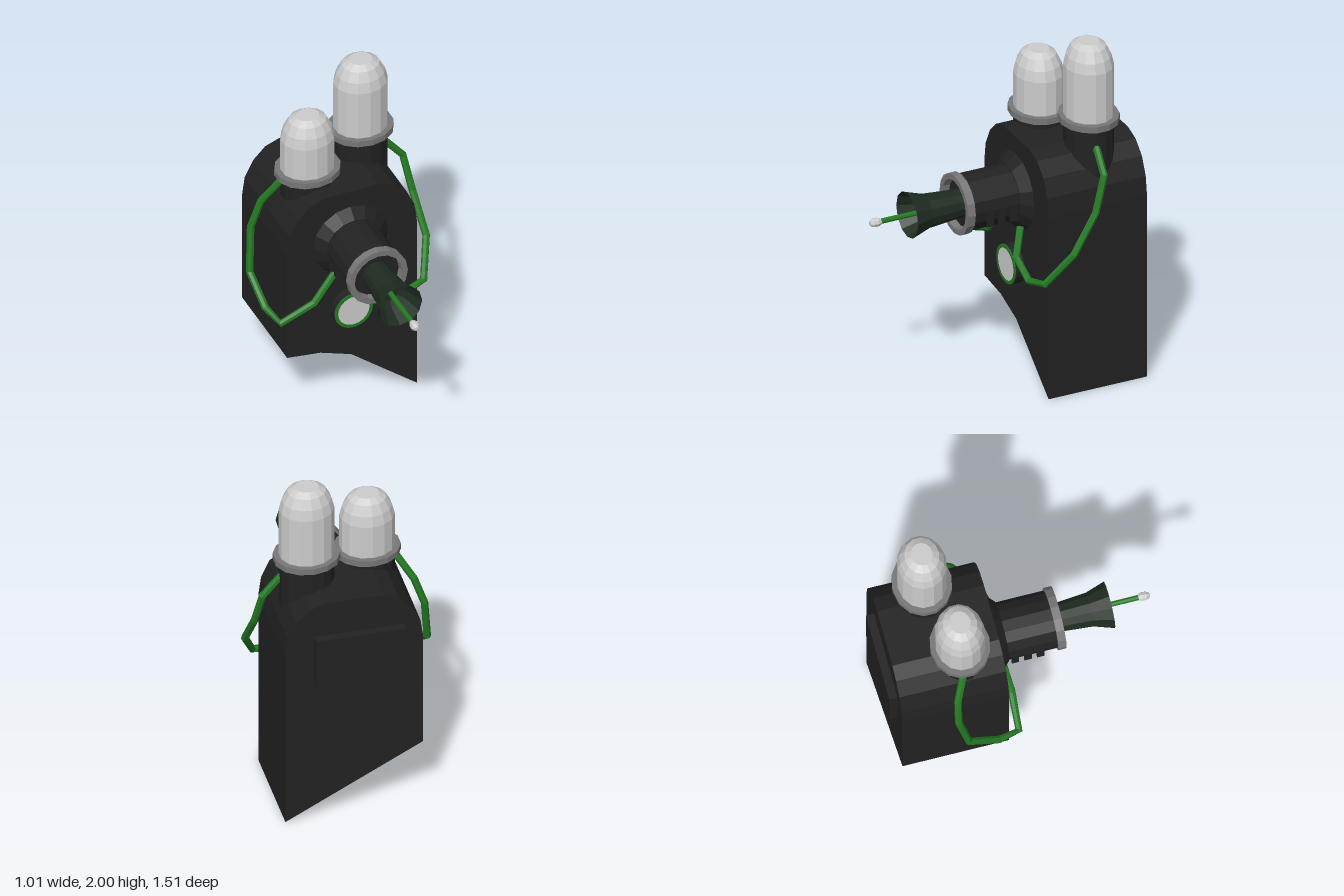
import * as THREE from 'three';

const paint = (color) => new THREE.MeshStandardMaterial({ color, flatShading: true, side: THREE.DoubleSide });
const v2 = (pts) => pts.map(([x, y]) => new THREE.Vector2(x, y));

export function createModel() {
  const group = new THREE.Group();
  const dark = paint(0x222222);
  const darkGreen = paint(0x1e2b20);
  const green = paint(0x237823);
  const grey = paint(0x777777);
  const light = paint(0xcccccc);

  const add = (name, geometry, material, parent = group) => {
    const mesh = new THREE.Mesh(geometry, material);
    mesh.name = name;
    parent.add(mesh);
    return mesh;
  };
  // Turned part: profile of [radius, height]
  const turned = (profile, sides) => new THREE.LatheGeometry(v2(profile), sides);
  // Turned part lying along z: profile of [radius, z]
  const turnedZ = (profile, x, y, sides = 16) =>
    turned(profile, sides).rotateX(Math.PI / 2).translate(x, y, 0);

  // Body: slab with chamfered shoulders and a slanted underside
  const outline = v2([
    [0.385, 0], [0.385, 1.09], [0.37, 1.2], [0.325, 1.3], [0.25, 1.37], [0.16, 1.4],
    [-0.16, 1.4], [-0.24, 1.37], [-0.31, 1.3], [-0.36, 1.2], [-0.375, 1.09],
    [-0.375, 0.4], [-0.18, 0.375], [0, 0.31],
  ]);
  const body = new THREE.ExtrudeGeometry(new THREE.Shape(outline), { depth: 0.59, bevelEnabled: false });
  // The lower edge is arched at the front and straight at the back
  const p = body.attributes.position;
  for (let i = 0; i < p.count; i++) {
    if (p.getZ(i) < 0.01 && p.getY(i) < 0.5) p.setY(i, 0.4 * (0.385 - p.getX(i)) / 0.76);
  }
  add('body', body.translate(0, 0, -0.71), dark);
  add('backPanel', new THREE.BoxGeometry(0.495, 0.31, 0.06).translate(-0.022, 1.035, -0.725), dark);

  // Two domed canisters, slightly oval
  const canister = (name, x, z, rim, top) => {
    const c = new THREE.Group();
    c.name = name;
    c.position.set(x, 0, z);
    c.scale.z = 0.89;
    add('socket', turned([[0.15, 1.15], [0.15, rim]], 14), dark, c);
    add('collar', turned([[0, rim - 0.018], [0.183, rim - 0.018], [0.183, rim + 0.018], [0, rim + 0.018]], 14), grey, c);
    add('dome', turned([
      [0.15, rim], [0.15, top - 0.14], [0.135, top - 0.08], [0.105, top - 0.025], [0.065, top], [0, top],
    ], 14), light, c);
    group.add(c);
  };
  canister('rightCanister', -0.16, -0.336, 1.457, 1.815);
  canister('leftCanister', 0.203, -0.452, 1.547, 2.0);

  // Nozzle pointing forward
  const nx = -0.005, ny = 1.08;
  add('nozzleFlange', turnedZ([[0.22, -0.13], [0.22, -0.12], [0.165, -0.065], [0.15, -0.065]], nx, ny), dark);
  add('barrel', turnedZ([[0.158, -0.12], [0.158, 0.21], [0, 0.21]], nx, ny), dark);
  add('barrelRing', turnedZ([
    [0.15, 0.205], [0.172, 0.205], [0.172, 0.25], [0.14, 0.25], [0.135, 0.205],
  ], nx, ny), grey);
  add('horn', turnedZ([
    [0.078, 0.2], [0.08, 0.25], [0.094, 0.42], [0.13, 0.53], [0.085, 0.42], [0.05, 0.4], [0, 0.4],
  ], nx, ny, 12), darkGreen);
  add('probe', turnedZ([[0.015, 0.38], [0.015, 0.7]], nx, ny, 8), green);
  add('probeTip', turnedZ([[0, 0.69], [0.018, 0.69], [0.026, 0.71], [0.024, 0.735], [0.014, 0.752], [0, 0.755]], nx, ny, 8), light);

  // Vent slots on both sides of the barrel
  for (const side of [-1, 1]) {
    for (const z of [-0.03, 0.04, 0.11]) {
      add('vent', new THREE.BoxGeometry(0.012, 0.1, 0.04).translate(nx + side * 0.153, 1.035, z), dark);
    }
  }

  // Round gauge below the nozzle
  add('gaugeBase', turnedZ([[0.112, -0.13], [0.112, -0.068], [0, -0.068]], -0.01, 0.645, 20), dark);
  add('gaugeRim', turnedZ([[0.112, -0.069], [0.112, -0.063], [0.092, -0.063]], -0.01, 0.645, 20), green);
  add('gaugeFace', turnedZ([[0.093, -0.064], [0, -0.064]], -0.01, 0.645, 20), light);

  // Hoses: one ring of vertices at each bend
  const hose = (name, points) => {
    const curve = new THREE.CatmullRomCurve3(points.map((q) => new THREE.Vector3(...q)), false, 'catmullrom', 0);
    curve.getPointAt = (t, target) => curve.getPoint(t, target);
    curve.getTangentAt = (t, target) => curve.getTangent(t, target);
    add(name, new THREE.TubeGeometry(curve, points.length - 1, 0.021, 7), green);
  };
  hose('leftHose', [
    [0.33, 1.43, -0.43], [0.44, 1.3, -0.425], [0.467, 1.1, -0.36], [0.485, 0.89, -0.22],
    [0.41, 0.71, -0.085], [0.28, 0.68, -0.055], [0.18, 0.78, -0.03], [0.11, 0.92, -0.09],
  ]);
  hose('rightHose', [
    [-0.3, 1.42, -0.35], [-0.4, 1.26, -0.41], [-0.455, 1.1, -0.42], [-0.483, 0.84, -0.37],
    [-0.467, 0.71, -0.2], [-0.43, 0.675, -0.08], [-0.24, 0.76, -0.07], [-0.11, 0.91, -0.09],
  ]);

  return group;
}
